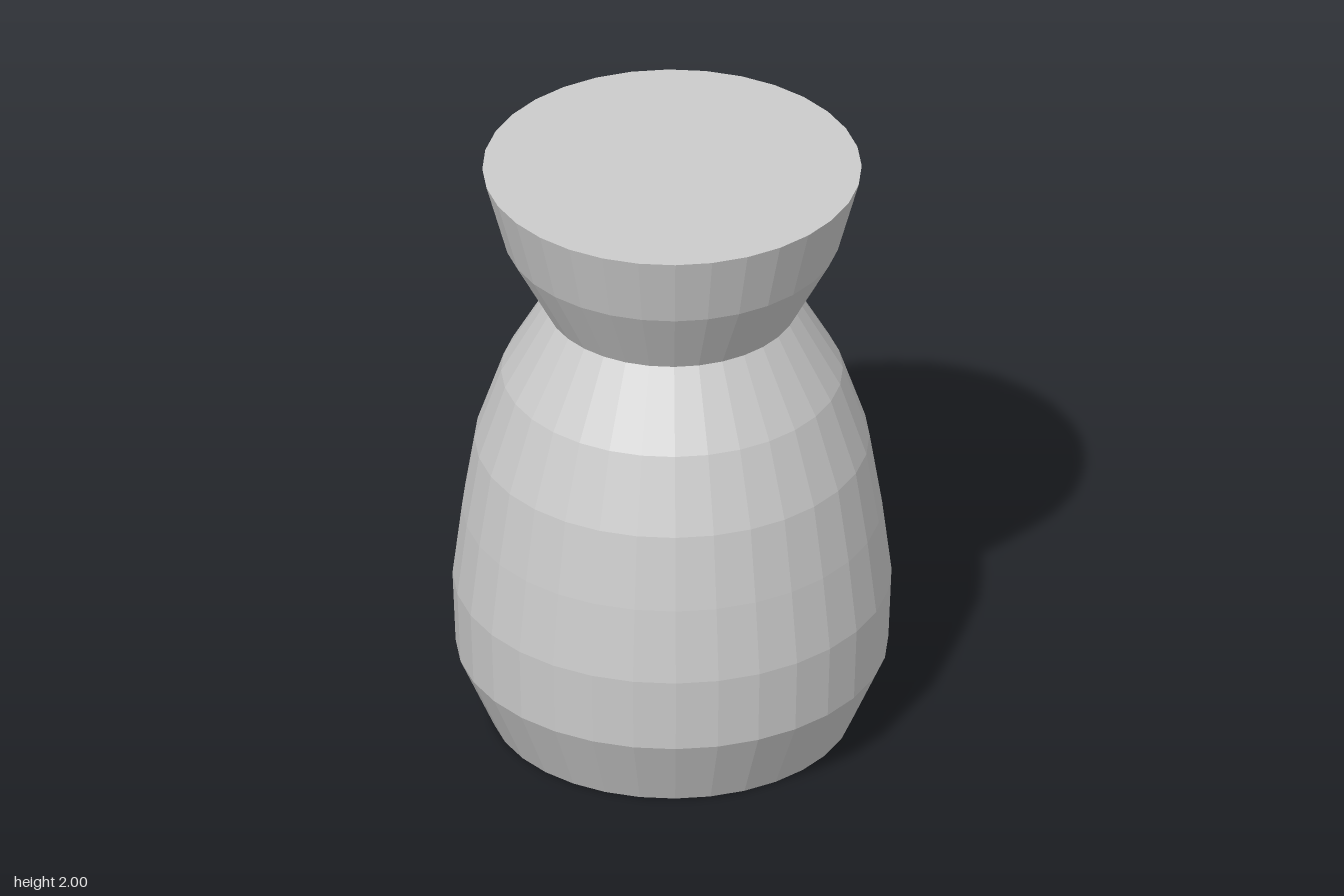
import * as THREE from 'three';

const SIDES = 32;

export function createModel() {
  const group = new THREE.Group();
  group.name = 'vase';
  const material = new THREE.MeshStandardMaterial({ color: 0xcccccc, flatShading: true });

  // Turned solid: [radius, height] profile from bottom to top, closed on the axis
  const turned = (name, profile) => {
    const first = profile[0], last = profile[profile.length - 1];
    const points = [[0, first[1]], ...profile, [0, last[1]]].map(([r, y]) => new THREE.Vector2(r, y));
    const mesh = new THREE.Mesh(new THREE.LatheGeometry(points, SIDES), material);
    mesh.name = name;
    group.add(mesh);
  };

  // Rounded body up to the neck, then the flared, closed rim
  turned('body', [[0.58, 0], [0.69, 0.25], [0.7, 0.5], [0.67, 0.75], [0.63, 1], [0.545, 1.25], [0.403, 1.5]]);
  turned('flaredTop', [[0.403, 1.5], [0.537, 1.75], [0.605, 2]]);

  return group;
}
